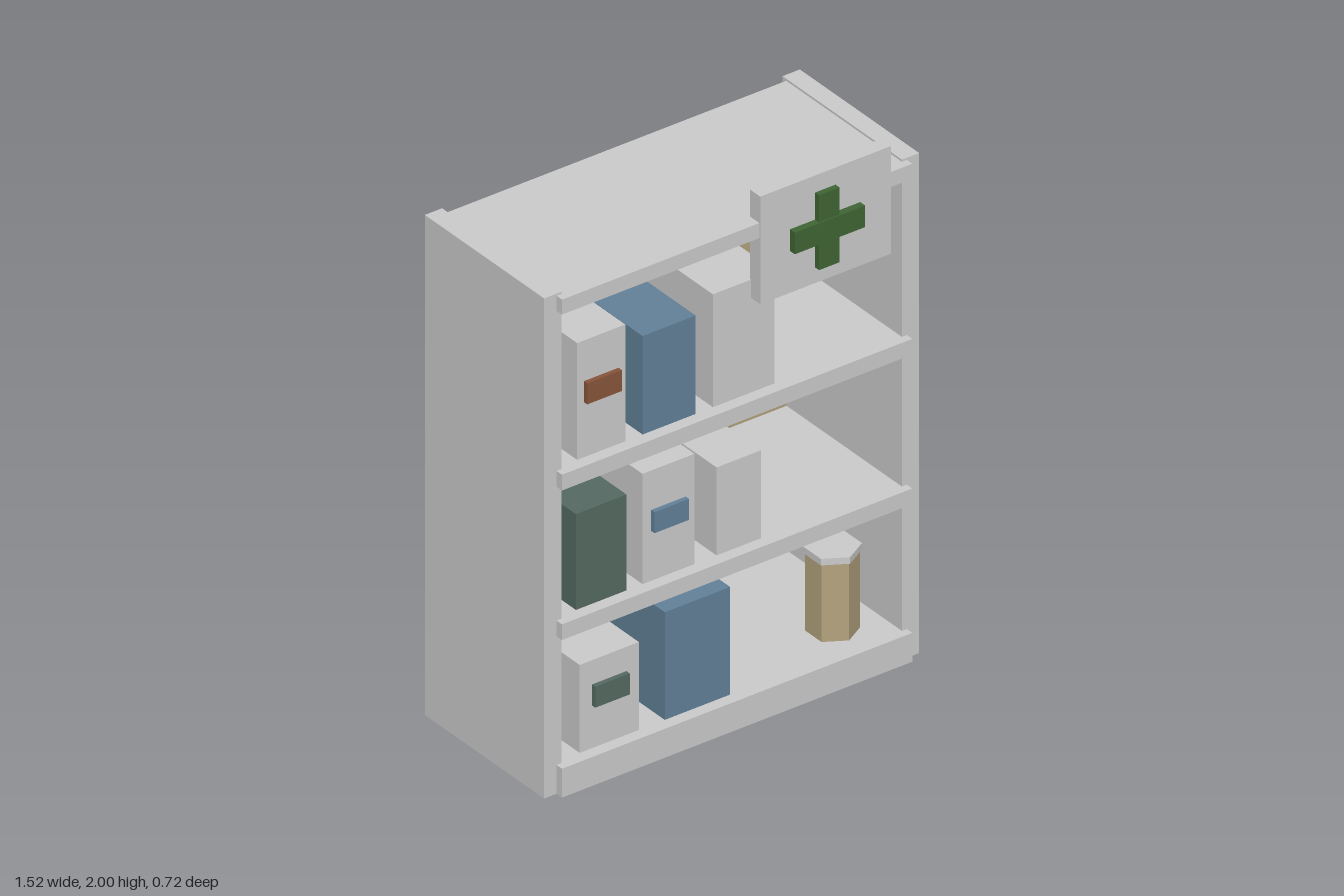
import * as THREE from 'three';

const mat = (color) => new THREE.MeshStandardMaterial({ color, flatShading: true });

export function createModel() {
  const root = new THREE.Group();
  root.name = 'medicineShelf';
  const grey = mat(0xcccccc), tan = mat(0xb3a37e), blue = mat(0x628199);
  const pine = mat(0x556a62), rust = mat(0x88553a), green = mat(0x3f6634);

  const add = (name, geometry, material, x, y, z, parent = root) => {
    const mesh = new THREE.Mesh(geometry, material);
    mesh.name = name;
    mesh.position.set(x, y, z);
    parent.add(mesh);
    return mesh;
  };
  // Box given by its limits on each axis
  const box = (name, material, [x0, x1], [y0, y1], [z0, z1], parent) =>
    add(name, new THREE.BoxGeometry(x1 - x0, y1 - y0, z1 - z0), material,
      (x0 + x1) / 2, (y0 + y1) / 2, (z0 + z1) / 2, parent);

  // Cabinet sides and back
  box('leftSide', grey, [0.69, 0.76], [0, 1.905], [-0.355, 0.295]);
  box('rightSide', grey, [-0.76, -0.69], [0, 1.905], [-0.355, 0.295]);
  box('backPanel', tan, [-0.7, 0.7], [0.002, 1.86], [-0.358, -0.333]);

  // Boards, housed in the sides and standing slightly proud at the front
  const boards = [
    ['baseBoard', 0, 0.11], ['lowerShelf', 0.6, 0.66],
    ['upperShelf', 1.17, 1.23], ['topBoard', 1.84, 1.897],
  ];
  for (const [name, y0, y1] of boards) box(name, grey, [-0.71, 0.71], [y0, y1], [-0.335, 0.325]);

  // Cartons: x limits, y limits, colour, optional label colour
  const cartons = [
    [[-0.615, -0.42], [1.23, 1.675], grey, rust],
    [[-0.35, -0.135], [1.23, 1.605], blue],
    [[-0.065, 0.185], [1.23, 1.66], grey],
    [[-0.62, -0.415], [0.66, 1.025], pine],
    [[-0.35, -0.14], [0.66, 1.08], grey, blue],
    [[-0.05, 0.13], [0.66, 0.995], grey],
    [[-0.605, -0.365], [0.11, 0.445], grey, pine],
    [[-0.26, 0.005], [0.11, 0.52], blue],
  ];
  for (const [xs, ys, material, labelMaterial] of cartons) {
    const carton = new THREE.Group();
    carton.name = 'carton';
    root.add(carton);
    box('cartonBody', material, xs, ys, [-0.08, 0.28], carton);
    if (labelMaterial) {
      const cx = (xs[0] + xs[1]) / 2;
      const cy = ys[0] + (ys[1] - ys[0]) * 0.56 + (ys[0] > 0.2 ? 0 : 0.015);
      const ly = ys[0] > 1 ? 1.48 : ys[0] > 0.5 ? 0.89 : cy;
      box('cartonLabel', labelMaterial, [cx - 0.07, cx + 0.07], [ly - 0.04, ly + 0.04], [0.275, 0.298], carton);
    }
  }

  // Six-sided jar with lid
  add('jarBody', new THREE.CylinderGeometry(0.09, 0.09, 0.295, 6), tan, 0.517, 0.2575, 0.15);
  add('jarLid', new THREE.CylinderGeometry(0.096, 0.096, 0.025, 6), grey, 0.517, 0.4175, 0.15);

  // Sign with raised cross
  const sign = new THREE.Group();
  sign.name = 'sign';
  root.add(sign);
  box('signBoard', grey, [0.09, 0.62], [1.59, 2], [0.275, 0.33], sign);
  box('crossUpright', green, [0.312, 0.395], [1.65, 1.935], [0.325, 0.352], sign);
  box('crossBar', green, [0.21, 0.495], [1.75, 1.832], [0.325, 0.357], sign);

  return root;
}
